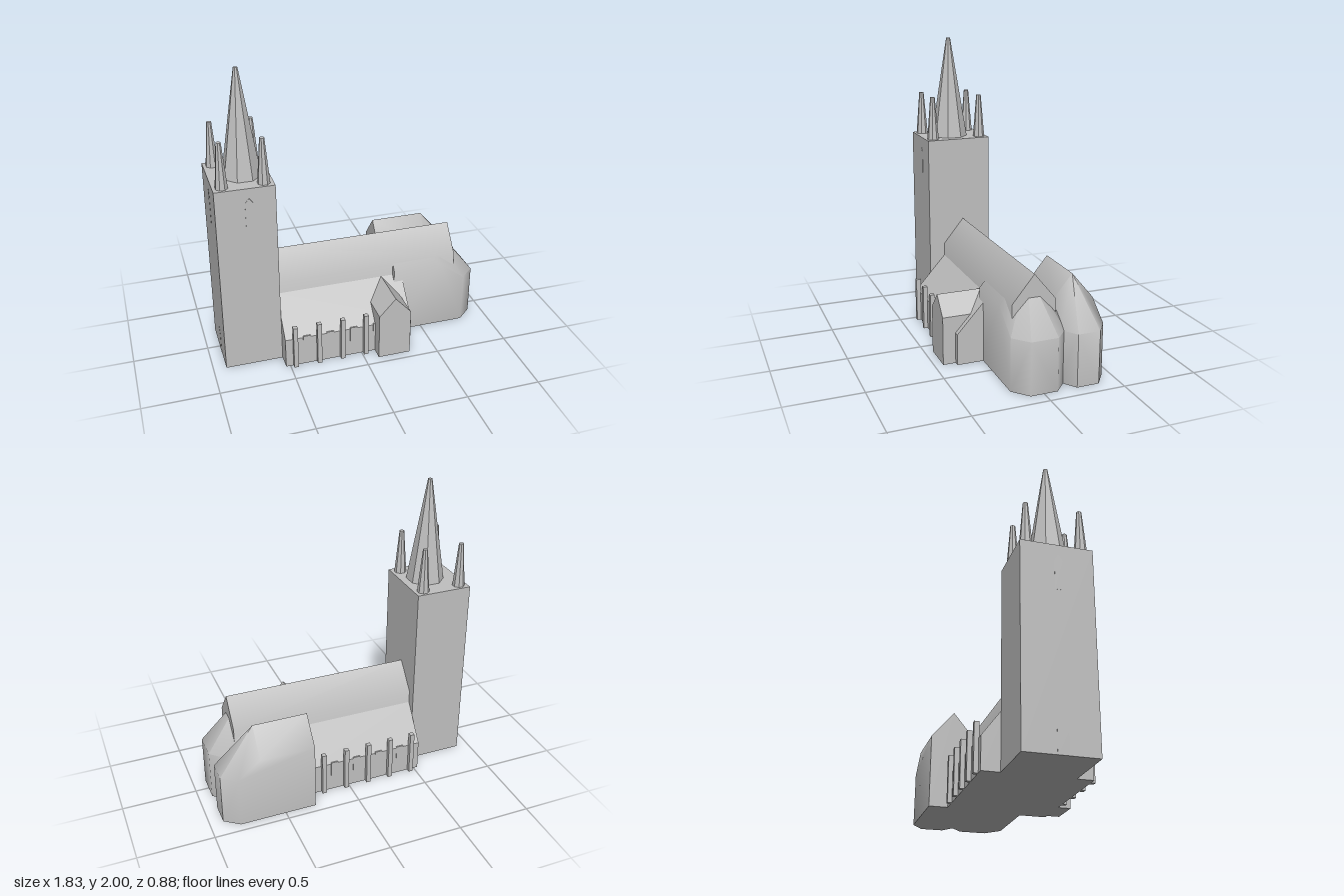
import * as THREE from 'three';
import { toCreasedNormals } from 'three/addons/utils/BufferGeometryUtils.js';
import { ConvexGeometry } from 'three/addons/geometries/ConvexGeometry.js';

export function createModel() {
  const church = new THREE.Group();
  church.name = 'church';
  const stone = new THREE.MeshStandardMaterial({ color: 0xc0c0c0 });
  stone.name = 'stone';

  const add = (name, geometry) => {
    const mesh = new THREE.Mesh(geometry, stone);
    mesh.name = name;
    church.add(mesh);
    return mesh;
  };

  // Box given by its limits on each axis
  const block = (name, x0, x1, y0, y1, z0, z1) =>
    add(name, new THREE.BoxGeometry(x1 - x0, y1 - y0, z1 - z0))
      .position.set((x0 + x1) / 2, (y0 + y1) / 2, (z0 + z1) / 2);

  // Solid spanning its corner points, with soft or sharp folds
  const solid = (name, points, crease = 0.1) =>
    add(name, toCreasedNormals(new ConvexGeometry(points.map((p) => new THREE.Vector3(...p))), crease));

  // Prism along x from a [z, y] profile
  const prismX = (name, x0, x1, profile, crease) =>
    solid(name, profile.flatMap(([z, y]) => [[x0, y, z], [x1, y, z]]), crease);

  // Eight-sided tapering spire with flats facing the axes
  const spire = (name, x, z, radius, topRadius, height) => {
    const g = new THREE.CylinderGeometry(topRadius, radius, height, 8).toNonIndexed();
    g.rotateY(Math.PI / 8);
    g.computeVertexNormals();
    add(name, g).position.set(x, 1.3 + height / 2, z);
  };

  // Tower with its spire and corner pinnacles
  block('tower', -0.914, -0.53, 0, 1.3, -0.203, 0.253);
  spire('mainSpire', -0.7, 0.04, 0.127, 0.014, 0.7);
  for (const x of [-0.855, -0.592])
    for (const z of [-0.148, 0.198]) spire('pinnacle', x, z, 0.041, 0.016, 0.3);

  // Pointed openings on the tower, as thin plates
  const pointed = (name, width, height, point) => {
    const w = width / 2;
    const shape = new THREE.Shape();
    shape.moveTo(-w, 0);
    shape.lineTo(w, 0);
    shape.lineTo(w, height - point);
    shape.lineTo(0, height);
    shape.lineTo(-w, height - point);
    return add(name, new THREE.ExtrudeGeometry(shape, { depth: 0.003, bevelEnabled: false }));
  };
  pointed('frontTowerWindow', 0.052, 0.235, 0.035).position.set(-0.7, 1, 0.252);
  for (const [name, y, width, height] of [['westTowerWindow', 1, 0.052, 0.235], ['westDoor', 0, 0.07, 0.19]]) {
    const plate = pointed(name, width, height, 0.045);
    plate.rotation.y = -Math.PI / 2;
    plate.position.set(-0.912, y, 0.035);
  }

  // Nave
  prismX('nave', -0.53, 0.745, [[-0.145, 0], [0.145, 0], [0.145, 0.533], [0, 0.71], [-0.145, 0.533]], 0.9);

  // Lean-to side aisles
  prismX('frontAisle', -0.53, 0.353, [[0.1, 0], [0.358, 0], [0.358, 0.21], [0.145, 0.445], [0.1, 0.445]]);
  prismX('backAisle', -0.53, 0.3, [[-0.1, 0], [-0.32, 0], [-0.32, 0.21], [-0.145, 0.445], [-0.1, 0.445]]);

  // Choir and chapel: gabled halls with a canted, hipped east end
  const hall = (name, zc, half, endHalf, eave, ridge, apexX) => {
    const points = [[0.29, ridge, zc], [apexX, ridge, zc]];
    for (const s of [-1, 1])
      for (const [x, w, top] of [[0.29, half, eave], [apexX, half, eave], [0.81, half, 0.35], [0.91, endHalf, 0.35]])
        points.push([x, 0, zc + s * w], [x, top, zc + s * w]);
    solid(name, points, 0.9);
  };
  hall('choir', 0, 0.18, 0.09, 0.488, 0.708, 0.63);
  hall('chapel', -0.295, 0.147, 0.074, 0.47, 0.647, 0.66);

  // Gabled porch
  solid('porch', [0.12, 0.443].flatMap((z) =>
    [[0.095, 0], [0.317, 0], [0.317, 0.325], [0.206, 0.447], [0.095, 0.325]].map(([x, y]) => [x, y, z])));

  // Buttresses and windows along both aisles
  for (const x of [-0.465, -0.302, -0.139, 0.024, 0.187]) {
    if (x < 0.1) block('frontButtress', x - 0.015, x + 0.015, 0, 0.31, 0.354, 0.386);
    block('backButtress', x - 0.015, x + 0.015, 0, 0.31, -0.348, -0.316);
  }
  for (const x of [-0.384, -0.221, -0.058, 0.105]) {
    block('frontWindow', x - 0.025, x + 0.025, 0.115, 0.22, 0.352, 0.361);
    block('backWindow', x - 0.025, x + 0.025, 0.115, 0.22, -0.323, -0.314);
  }
  return church;
}
